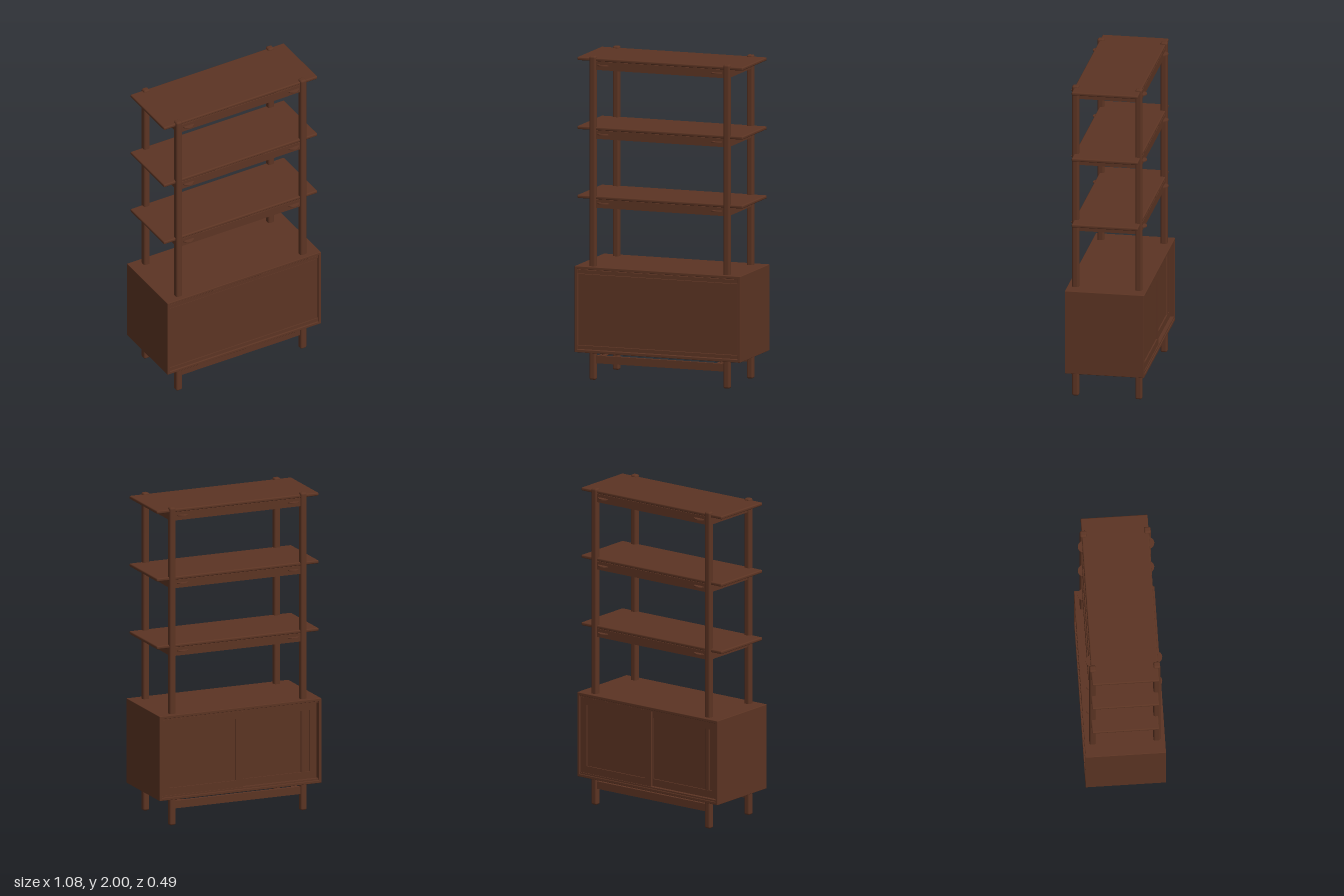
import * as THREE from 'three';
import { RoundedBoxGeometry } from 'three/addons/geometries/RoundedBoxGeometry.js';

const wood = new THREE.MeshStandardMaterial({ color: 0x5c3423 });
wood.name = 'walnut';

export function createModel() {
  const model = new THREE.Group();
  model.name = 'shelfCabinet';

  const add = (parent, name, geometry, x = 0, y = 0, z = 0) => {
    const mesh = new THREE.Mesh(geometry, wood);
    mesh.name = name;
    mesh.position.set(x, y, z);
    parent.add(mesh);
    return mesh;
  };
  // Box given by its low and high bounds; r rounds the edges
  const box = (parent, name, [x0, x1], [y0, y1], [z0, z1], r = 0) => {
    const size = [x1 - x0, y1 - y0, z1 - z0];
    const geometry = r ? new RoundedBoxGeometry(...size, 3, r) : new THREE.BoxGeometry(...size);
    return add(parent, name, geometry, (x0 + x1) / 2, (y0 + y1) / 2, (z0 + z1) / 2);
  };
  const group = (name) => {
    const g = new THREE.Group();
    g.name = name;
    model.add(g);
    return g;
  };

  const PX = 0.437, PZ = 0.195, P = 0.021; // post centre and half width

  // Four full-height posts
  const posts = group('posts');
  for (const sx of [-1, 1]) for (const sz of [-1, 1]) {
    box(posts, 'post', [sx * PX - P, sx * PX + P], [0.005, 2], [sz * PZ - P, sz * PZ + P], 0.012);
  }

  // Shelves, each carried by a frame of rails with round joining discs
  for (const top of [1.138, 1.563, 1.988]) {
    const shelf = group('shelf');
    box(shelf, 'shelfBoard', [-0.54, 0.54], [top - 0.02, top], [-0.205, 0.203], 0.007);
    for (const s of [-1, 1]) {
      box(shelf, 'longRail', [-PX, PX], [top - 0.072, top - 0.02], [s * PZ - 0.01, s * PZ + 0.01]);
      box(shelf, 'sideRail', [s * PX - 0.01, s * PX + 0.01], [top - 0.072, top - 0.02], [-PZ, PZ]);
      box(shelf, 'cleat', [s * 0.375 - 0.012, s * 0.375 + 0.012], [top - 0.03, top - 0.02], [-0.185, 0.185]);
      for (const sz of [-1, 1]) {
        add(shelf, 'joiningDisc', new THREE.CylinderGeometry(0.038, 0.038, 0.006, 28), s * 0.37, top - 0.042, sz * PZ);
      }
    }
  }

  // Cabinet shell
  const cabinet = group('cabinet');
  const Y0 = 0.175, Y1 = 0.706, X = 0.54, Z = 0.245, T = 0.018;
  for (const y of [Y0, Y1 - T]) box(cabinet, 'cabinetBoard', [-X, X], [y, y + T], [-Z, Z], 0.003);
  for (const s of [-1, 1]) {
    box(cabinet, 'cabinetSide', s < 0 ? [-X, -X + T] : [X - T, X], [Y0, Y1], [-Z, Z], 0.003);
  }

  // Front panel with slim tracks above and below
  box(cabinet, 'frontPanel', [-0.518, 0.518], [0.222, 0.658], [0.222, 0.238]);
  box(cabinet, 'panelBacking', [-X + T, X - T], [Y0 + T, Y1 - T], [0.21, 0.222]);
  box(cabinet, 'topTrack', [-X + T, X - T], [0.662, 0.684], [0.222, 0.24]);
  box(cabinet, 'bottomTrack', [-X + T, X - T], [0.196, 0.218], [0.222, 0.24]);

  // Two framed sliding doors at the back, one set behind the other
  const door = (x0, x1, z) => {
    const y0 = 0.203, y1 = 0.678, w = 0.045;
    const shape = new THREE.Shape();
    shape.moveTo(x0, y0).lineTo(x1, y0).lineTo(x1, y1).lineTo(x0, y1).closePath();
    const hole = new THREE.Path();
    hole.moveTo(x0 + w, y0 + w).lineTo(x0 + w, y1 - w).lineTo(x1 - w, y1 - w).lineTo(x1 - w, y0 + w).closePath();
    shape.holes.push(hole);
    add(cabinet, 'doorFrame', new THREE.ExtrudeGeometry(shape, { depth: 0.016, bevelEnabled: false }), 0, 0, z);
    box(cabinet, 'doorPanel', [x0 + w, x1 - w], [y0 + w, y1 - w], [z + 0.008, z + 0.014]);
  };
  door(-0.02, 0.52, -0.235);
  door(-0.52, 0.02, -0.217);
  for (const y of [0.193, 0.68]) box(cabinet, 'doorTrack', [-X + T, X - T], [y, y + 0.01], [-0.24, -0.2]);

  // Long rails and thin plate under the cabinet
  const base = group('base');
  for (const s of [-1, 1]) {
    box(base, 'baseRail', [-PX, PX], [0.108, 0.155], [s * PZ - 0.01, s * PZ + 0.01]);
    box(base, 'mountingStrip', [s * 0.385 - 0.02, s * 0.385 + 0.02], [0.15, 0.156], [-0.185, 0.185]);
    for (const sz of [-1, 1]) {
      add(base, 'mountingBolt', new THREE.CylinderGeometry(0.009, 0.009, 0.04, 16), s * 0.385, 0.157, sz * 0.16);
    }
  }
  return model;
}
